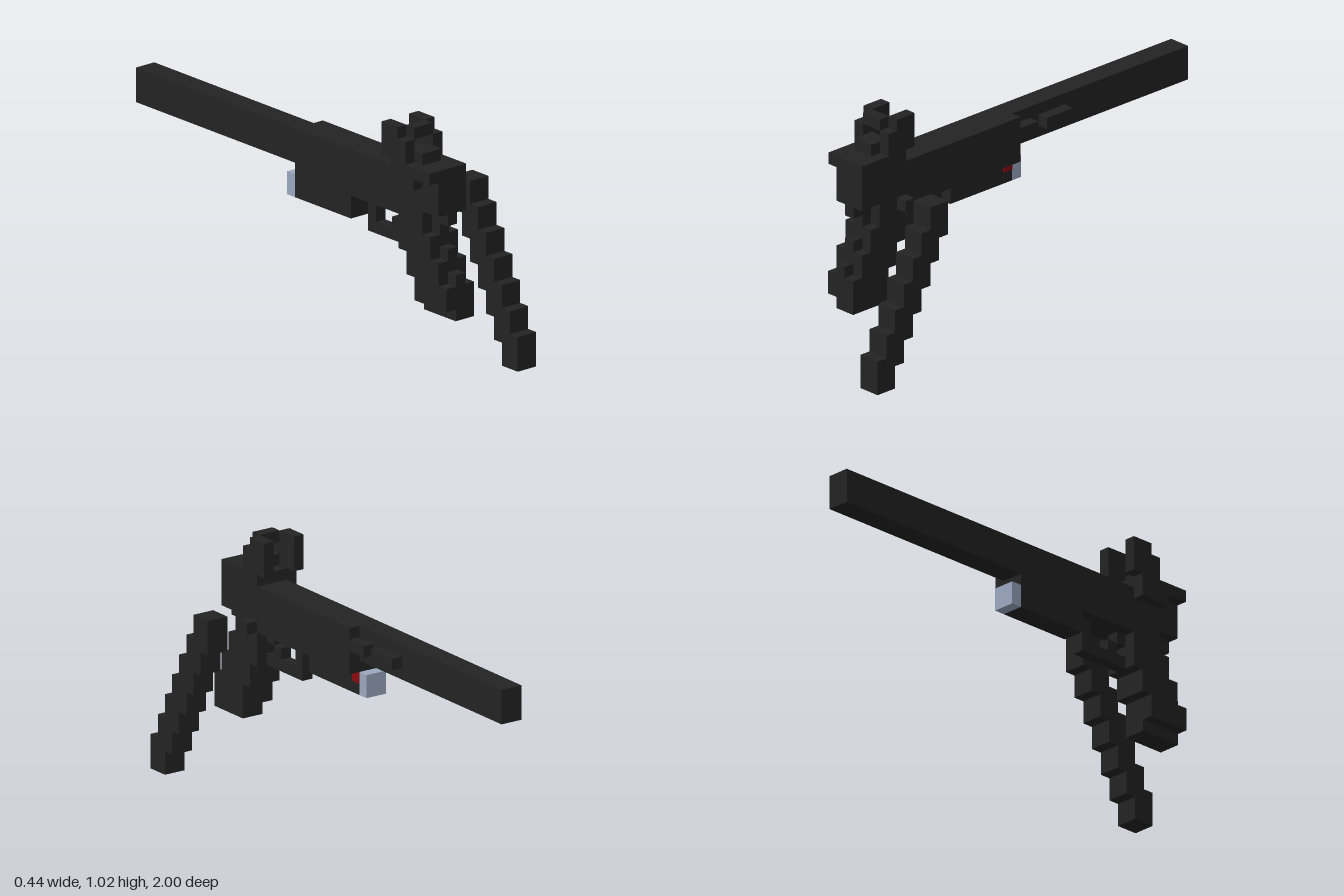
import * as THREE from 'three';

// One block of the model; it is 9 x 21 x 41 blocks.
const U = 2 / 41;

export function createModel() {
  const root = new THREE.Group();
  root.name = 'blockRifle';

  const material = (name, color) => {
    const m = new THREE.MeshStandardMaterial({ color });
    m.name = name;
    return m;
  };
  const dark = material('darkMetal', 0x232323);
  const lens = material('paleBlueLens', 0x9ba8c0);
  const red = material('redMarker', 0x8c0a10);

  const part = (name) => {
    const g = new THREE.Group();
    g.name = name;
    root.add(g);
    return g;
  };

  // Box from start and end block edges: x0,x1, y0,y1, z0,z1
  const box = (parent, name, x0, x1, y0, y1, z0, z1, mat = dark) => {
    const geo = new THREE.BoxGeometry((x1 - x0) * U, (y1 - y0) * U, (z1 - z0) * U);
    const mesh = new THREE.Mesh(geo, mat);
    mesh.name = name;
    mesh.position.set(((x0 + x1) / 2 - 4.5) * U, ((y0 + y1) / 2) * U, ((z0 + z1) / 2 - 20.5) * U);
    parent.add(mesh);
  };

  // Barrel and side rail
  const barrel = part('barrel');
  box(barrel, 'barrelBar', 1, 3, 14, 17, 0, 20);
  box(barrel, 'railFront', 3, 4, 15, 16, 14, 17);
  box(barrel, 'railRear', 3, 4, 15, 16, 18, 20);

  // Receiver with rear overhang and side knob
  const receiver = part('receiver');
  box(receiver, 'receiverBody', 1, 4, 13, 17, 20, 36);
  box(receiver, 'receiverRear', 1, 4, 14, 17, 36, 38);
  box(receiver, 'receiverRearKeel', 2, 3, 13, 14, 36, 38);
  box(receiver, 'topPlate', 0, 4, 17, 18, 33, 38);
  box(receiver, 'sideLug', 0, 1, 16, 17, 33, 36);
  box(receiver, 'sideKnob', 4, 5, 13, 14, 33, 34);

  // Rear sight: two posts, a bridge and a block between them
  const sight = part('rearSight');
  for (const x of [0, 3]) {
    box(sight, 'sightPost', x, x + 1, 18, 20, 32, 35);
    box(sight, 'sightTip', x, x + 1, 20, 21, 32, 34);
  }
  box(sight, 'sightBridge', 1, 3, 20, 21, 34, 35);
  box(sight, 'sightBlock', 1, 3, 18, 19, 34, 36);

  // Light under the barrel
  const light = part('underBarrelLight');
  box(light, 'lightTube', 1, 3, 11, 13, 20, 27);
  box(light, 'lightLens', 1, 3, 11, 13, 19, 20, lens);
  box(light, 'lightSwitch', 2, 3.04, 12, 13, 20, 21, red);

  // Trigger and guard
  const guard = part('triggerGuard');
  box(guard, 'guardPost', 2, 3, 10, 13, 28, 29);
  box(guard, 'guardBottom', 2, 3, 10, 11, 29, 34);
  box(guard, 'triggerTop', 2, 3, 12, 13, 32, 33);
  box(guard, 'triggerTip', 2, 3, 11, 12, 31, 32);

  // Grip: stepped core with side panels set one block lower
  const grip = part('grip');
  box(grip, 'gripCoreLow', 2, 3, 5, 9, 35, 39);
  box(grip, 'gripCoreMiddle', 2, 3, 8, 11, 34, 38);
  box(grip, 'gripCoreTop', 2, 3, 10, 13, 33, 37);
  for (const x of [1, 3]) {
    box(grip, 'gripPanelLow', x, x + 1, x === 1 ? 6 : 5, 8, 35, 39);
    box(grip, 'gripPanelMiddle', x, x + 1, 8, 10, 34, 38);
    box(grip, 'gripPanelHigh', x, x + 1, 10, 12, 33, 37);
    box(grip, 'gripPanelTop', x, x + 1, 12, 13, 33, 36);
  }

  // Detached stepped magazine
  const magazine = part('magazine');
  for (let i = 0; i < 7; i++) {
    box(magazine, 'magazineStep', 7, 9, 2 * i, 2 * i + 3, 39 - i, 41 - i);
  }

  return root;
}
